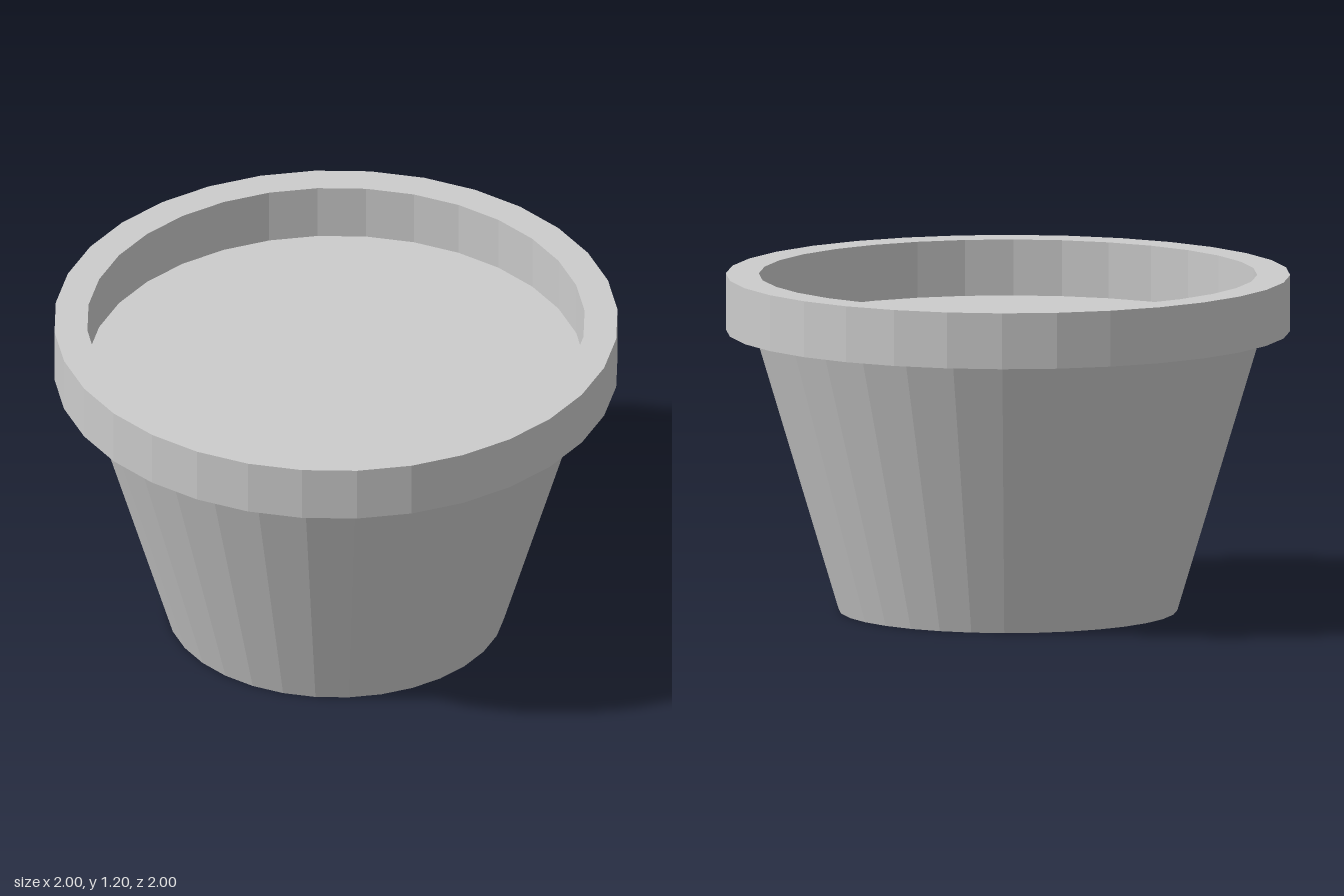
import * as THREE from 'three';

const SIDES = 32;

export function createModel() {
  const pot = new THREE.Group();
  pot.name = 'flowerPot';
  const material = new THREE.MeshStandardMaterial({ color: 0xcccccc, flatShading: true });

  function add(name, geometry) {
    const mesh = new THREE.Mesh(geometry, material);
    mesh.name = name;
    pot.add(mesh);
    return mesh;
  }

  // Tapered body; its top disc is the floor inside the rim
  add('body', new THREE.CylinderGeometry(0.9, 0.6, 1, SIDES)).position.y = 0.5;

  // Square-section rim, overhanging the body
  const rimProfile = [[0.883, 1], [1, 1], [1, 1.2], [0.883, 1.2], [0.883, 1]];
  add('rim', new THREE.LatheGeometry(rimProfile.map(([r, y]) => new THREE.Vector2(r, y)), SIDES));

  return pot;
}
